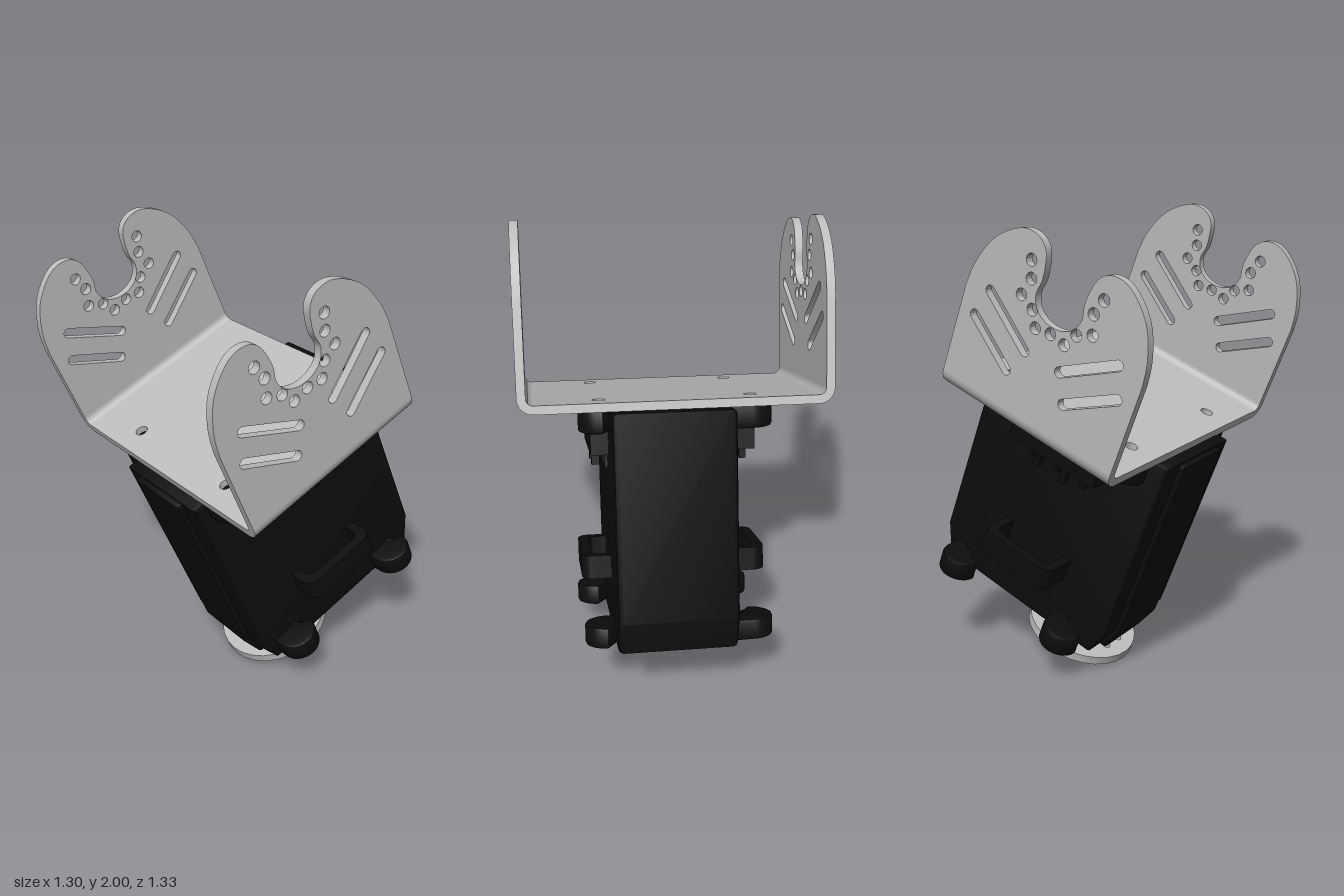
import * as THREE from 'three';
import { toCreasedNormals } from 'three/addons/utils/BufferGeometryUtils.js';

const metal = new THREE.MeshStandardMaterial({ color: 0xbdbdbd });
metal.name = 'brushed grey metal';
const plastic = new THREE.MeshStandardMaterial({ color: 0x0d0d0d });
plastic.name = 'black plastic';

const V = (x, y) => new THREE.Vector2(x, y);

function add(parent, name, geometry, material, x = 0, y = 0, z = 0) {
  const mesh = new THREE.Mesh(geometry, material);
  mesh.name = name;
  mesh.position.set(x, y, z);
  parent.add(mesh);
  return mesh;
}

// Extrusion centred on its own depth
function extrude(shape, depth, bevel = 0) {
  const g = new THREE.ExtrudeGeometry(shape, {
    depth: depth - 2 * bevel, curveSegments: 14,
    bevelEnabled: bevel > 0, bevelSize: bevel, bevelThickness: bevel, bevelOffset: -bevel, bevelSegments: 2,
  });
  return toCreasedNormals(g.translate(0, 0, bevel - depth / 2 - bevel), 0.5);
}
// Outline in (z, y), thickness along x
const sideways = (shape, depth, bevel) => extrude(shape, depth, bevel).rotateY(-Math.PI / 2);
// Outline in (x, z), thickness along y
const flat = (shape, depth, bevel) => extrude(shape, depth, bevel).rotateX(Math.PI / 2);

function punch(shape, x, y, r) {
  shape.holes.push(new THREE.Path().absarc(x, y, r, 0, Math.PI * 2, true));
}

// Stadium-shaped hole between two points
function slot(shape, x1, y1, x2, y2, r) {
  const a = Math.atan2(y2 - y1, x2 - x1);
  const p = new THREE.Path();
  p.absarc(x2, y2, r, a - Math.PI / 2, a + Math.PI / 2, false);
  p.absarc(x1, y1, r, a + Math.PI / 2, a + Math.PI * 1.5, false);
  p.closePath();
  shape.holes.push(p);
}

function roundRect(w, h, r, Type = THREE.Shape) {
  const s = new Type();
  s.absarc(w / 2 - r, h / 2 - r, r, 0, Math.PI / 2);
  s.absarc(-w / 2 + r, h / 2 - r, r, Math.PI / 2, Math.PI);
  s.absarc(-w / 2 + r, -h / 2 + r, r, Math.PI, Math.PI * 1.5);
  s.absarc(w / 2 - r, -h / 2 + r, r, Math.PI * 1.5, Math.PI * 2);
  s.closePath();
  return s;
}

function makeBracket() {
  const bracket = new THREE.Group();
  bracket.name = 'bracket';
  bracket.position.z = -0.367;
  const t = 0.036, half = 0.637, depth = 0.842, bend = 0.065, bottom = 1.153;

  // Base plate with four screw holes
  const w = half - bend;
  const base = new THREE.Shape([V(-w, -depth / 2), V(w, -depth / 2), V(w, depth / 2), V(-w, depth / 2)]);
  for (const x of [-0.31, 0.31]) for (const z of [-0.31, 0.31]) punch(base, x, z, 0.027);
  add(bracket, 'bracketBase', flat(base, t), metal, 0, bottom + t / 2, 0);

  // Forked wall outline: two lobes around a notch
  const lobe = [[0.421, 1.59], [0.408, 1.68], [0.37, 1.78], [0.32, 1.845], [0.255, 1.893], [0.2, 1.907],
    [0.15, 1.895], [0.117, 1.86], [0.102, 1.8], [0.099, 1.75], [0.108, 1.7], [0.088, 1.65], [0.046, 1.623]];
  const path = [...lobe, [0, 1.615], ...lobe.map(([d, v]) => [-d, v]).reverse()].map(p => V(...p));
  const wall = new THREE.Shape([V(-depth / 2, bottom + bend), V(depth / 2, bottom + bend),
    ...new THREE.SplineCurve(path).getPoints(78)]);
  punch(wall, 0, 1.588, 0.024);
  for (const s of [-1, 1]) {
    for (const [d, v] of [[0.168, 1.807], [0.146, 1.742], [0.168, 1.668], [0.105, 1.636], [0.069, 1.578]])
      punch(wall, s * d, v, 0.024);
    slot(wall, s * 0.305, 1.617, s * 0.085, 1.473, 0.021);
    slot(wall, s * 0.345, 1.498, s * 0.14, 1.365, 0.021);
  }
  const wallGeometry = sideways(wall, t);

  // Quarter-ring bends join the base and the walls
  for (const s of [-1, 1]) {
    const side = s > 0 ? 'left' : 'right';
    add(bracket, side + 'Wall', wallGeometry, metal, s * (half - t / 2), 0, 0);
    const a0 = s > 0 ? -Math.PI / 2 : Math.PI;
    const ring = new THREE.Shape();
    ring.absarc(0, 0, bend, a0, a0 + Math.PI / 2, false);
    ring.absarc(0, 0, bend - t, a0 + Math.PI / 2, a0, true);
    add(bracket, side + 'Bend', extrude(ring, depth), metal, s * w, bottom + bend, 0);
  }
  return bracket;
}

function makeServo() {
  const servo = new THREE.Group();
  servo.name = 'servo';

  // Case with chamfered lower edges and a raised front panel
  const body = new THREE.Shape([V(-0.78, 0.15), V(0.05, 0.15), V(0.1, 0.267), V(0.1, 1.15), V(-0.835, 1.15), V(-0.835, 0.29)]);
  add(servo, 'case', sideways(body, 0.5, 0.02), plastic);
  const panel = new THREE.Shape([V(0, 0.15), V(0.08, 0.15), V(0.125, 0.267), V(0.125, 1.143), V(0, 1.143)]);
  add(servo, 'frontPanel', sideways(panel, 0.32, 0.02), plastic);

  // Mounting ear with a rounded tip and a screw hole
  function ear(width, thick) {
    const s = new THREE.Shape();
    const r = width / 2, cx = 0.397 - r;
    s.moveTo(0.2, -r);
    s.absarc(cx, 0, r, -Math.PI / 2, Math.PI / 2, false);
    s.lineTo(0.2, r);
    s.closePath();
    punch(s, cx, 0, 0.036);
    return flat(s, thick, 0.012);
  }
  const lowerEar = ear(0.18, 0.09), upperEar = ear(0.19, 0.1);

  // Open cable loop on each side
  const loop = roundRect(0.29, 0.37, 0.05);
  const opening = roundRect(0.2, 0.29, 0.03, THREE.Path);
  loop.holes.push(opening);
  const loopGeometry = flat(loop, 0.1);

  for (const s of [-1, 1]) {
    const sideGroup = new THREE.Group();
    sideGroup.name = s > 0 ? 'leftFittings' : 'rightFittings';
    sideGroup.rotation.y = s > 0 ? 0 : Math.PI;
    sideGroup.position.z = -0.36;
    servo.add(sideGroup);
    for (const e of [-1, 1]) {
      add(sideGroup, 'lowerEar', lowerEar, plastic, 0, 0.195, e * 0.3);
      add(sideGroup, 'upperEar', upperEar, plastic, 0, 1.098, e * 0.31);
    }
    add(sideGroup, 'cableLoop', loopGeometry, plastic, 0.25, 0.455, 0);
    // Connector socket with a row of pins
    add(sideGroup, 'connector', new THREE.BoxGeometry(0.12, 0.2, 0.45), plastic, 0.285, 1.045, 0);
    for (let i = 0; i < 5; i++)
      add(sideGroup, 'connectorPin', new THREE.BoxGeometry(0.03, 0.07, 0.03), plastic,
        i % 2 ? 0.32 : 0.27, 0.915, -0.14 + i * 0.07);
  }
  return servo;
}

function makeHorn() {
  const horn = new THREE.Group();
  horn.name = 'outputHorn';
  horn.position.z = -0.12;

  // Disc with a ring of holes
  const disc = new THREE.Shape().absarc(0, 0, 0.25, 0, Math.PI * 2, false);
  for (let i = 0; i < 12; i++) {
    const a = (i + 0.5) * Math.PI / 6;
    punch(disc, Math.cos(a) * 0.175, Math.sin(a) * 0.175, 0.018);
  }
  punch(disc, 0, 0, 0.04);
  add(horn, 'hornDisc', flat(disc, 0.04), metal, 0, 0.078, 0);

  // Centre boss below, hub above
  const boss = new THREE.Shape().absarc(0, 0, 0.095, 0, Math.PI * 2, false);
  punch(boss, 0, 0, 0.04);
  add(horn, 'hornBoss', flat(boss, 0.025), metal, 0, 0.047, 0);
  add(horn, 'hornHub', new THREE.CylinderGeometry(0.09, 0.09, 0.06, 32), metal, 0, 0.126, 0);
  add(horn, 'hornScrew', new THREE.CylinderGeometry(0.039, 0.039, 0.03, 20), plastic, 0, 0.085, 0);
  return horn;
}

export function createModel() {
  const model = new THREE.Group();
  model.name = 'servoWithBracket';
  // The whole assembly leans forward with a slight roll
  const tilt = new THREE.Group();
  tilt.name = 'tiltedAssembly';
  tilt.rotation.set(0.3805, 0, 0.028, 'ZYX');
  tilt.position.x = 0.04;
  tilt.add(makeBracket(), makeServo(), makeHorn());
  model.add(tilt);
  return model;
}
